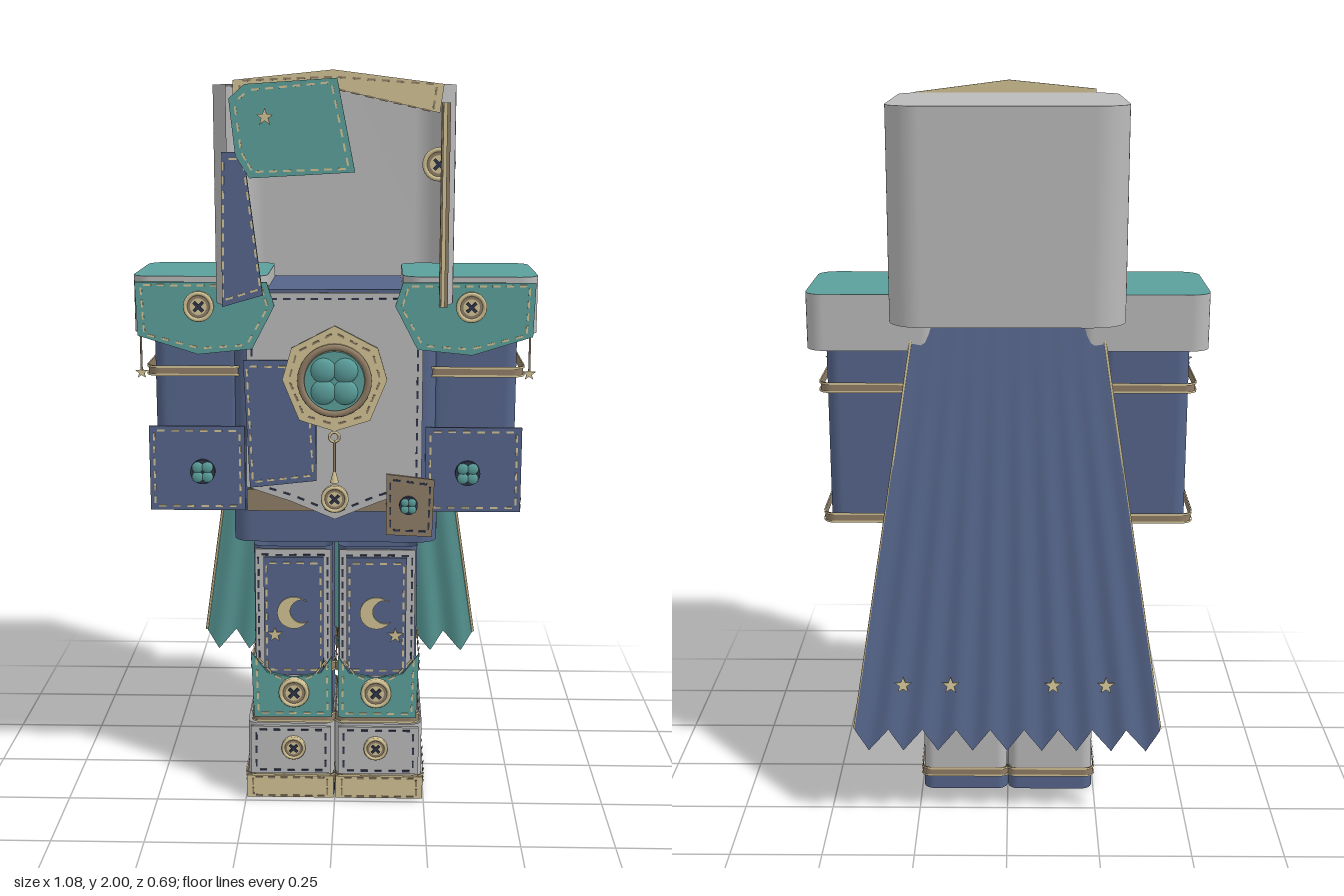
import * as THREE from 'three';
import { mergeGeometries } from 'three/addons/utils/BufferGeometryUtils.js';

const paint = (name, color) => new THREE.MeshStandardMaterial({ name, color, side: THREE.DoubleSide });
const gray = paint('gray cloth', 0xbababa);
const blue = paint('blue cloth', 0x55658a);
const teal = paint('teal cloth', 0x5b9f9c);
const tan = paint('tan trim', 0xd2c394);
const brown = paint('brown leather', 0x907d66);
const dark = paint('dark thread', 0x30364c);

function add(parent, name, geo, mat, x = 0, y = 0, z = 0) {
  const mesh = new THREE.Mesh(geo, mat);
  mesh.name = name;
  mesh.position.set(x, y, z);
  parent.add(mesh);
  return mesh;
}

// Rounded rectangle seen from above, as [x, z], starting in the middle of the front
function roundRect(w, d, r) {
  const pts = [[0, d / 2]];
  [[1, 1], [1, -1], [-1, -1], [-1, 1]].forEach(([sx, sz], q) => {
    for (let i = 0; i <= 8; i++) {
      const a = (q + i / 8) * Math.PI / 2;
      pts.push([sx * (w / 2 - r) + r * Math.sin(a), sz * (d / 2 - r) + r * Math.cos(a)]);
    }
  });
  pts.push([0, d / 2]);
  return pts;
}

// Upright cloth wall following an outline
function wall(pts, y0, y1) {
  const pos = [], idx = [];
  pts.forEach(([x, z], i) => {
    pos.push(x, y0, z, x, y1, z);
    const a = i * 2;
    if (i < pts.length - 1) idx.push(a, a + 2, a + 3, a, a + 3, a + 1);
  });
  const g = new THREE.BufferGeometry();
  g.setAttribute('position', new THREE.Float32BufferAttribute(pos, 3));
  g.setIndex(idx);
  g.computeVertexNormals();
  return g;
}
const lid = pts => new THREE.ShapeGeometry(new THREE.Shape(pts.slice(0, -1).map(([x, z]) => new THREE.Vector2(x, -z)))).rotateX(-Math.PI / 2);

// Thin band around a sleeve, with a lighter cord on each side
function band(parent, name, w, d, r, x, y, z) {
  add(parent, name, wall(roundRect(w + 0.016, d + 0.016, r), -0.014, 0.014), brown, x, y, z);
  for (const s of [-1, 1]) add(parent, name + 'Cord', wall(roundRect(w + 0.022, d + 0.022, r), -0.003, 0.003), tan, x, y + s * 0.011, z);
}

const toShape = pts => new THREE.Shape(pts.map(([x, y]) => new THREE.Vector2(x, y)));
const extrude = (shape, depth) => new THREE.ExtrudeGeometry(shape, { depth, bevelEnabled: false, curveSegments: 14 });

// Flat patch facing front, with optional stitches along its border
function plate(parent, name, pts, mat, z, thread, depth = 0.008) {
  add(parent, name, extrude(toShape(pts), depth), mat, 0, 0, z);
  if (!thread) return;
  const cx = pts.reduce((s, p) => s + p[0], 0) / pts.length;
  const cy = pts.reduce((s, p) => s + p[1], 0) / pts.length;
  const inset = pts.map(([x, y]) => {
    const k = 1 - 0.018 / Math.hypot(x - cx, y - cy);
    return [cx + (x - cx) * k, cy + (y - cy) * k];
  });
  const dashes = [];
  inset.forEach(([x, y], i) => {
    const [u, v] = inset[(i + 1) % inset.length];
    const n = Math.max(1, Math.round(Math.hypot(u - x, v - y) / 0.036));
    for (let k = 0; k < n; k++) {
      const t = (k + 0.5) / n;
      dashes.push(new THREE.BoxGeometry(0.02, 0.005, 0.004).rotateZ(Math.atan2(v - y, u - x)).translate(x + (u - x) * t, y + (v - y) * t, 0));
    }
  });
  add(parent, name + 'Stitches', mergeGeometries(dashes), thread, 0, 0, z + depth + 0.001);
}
const flip = (pts, s) => pts.map(([x, y]) => [x * s, y]);
const rect = (x0, y0, x1, y1) => [[x0, y0], [x1, y0], [x1, y1], [x0, y1]];

function star(parent, name, x, y, z, r = 0.022) {
  const pts = [...Array(10).keys()].map(i => {
    const a = Math.PI / 2 + i * Math.PI / 5, k = i % 2 ? r * 0.42 : r;
    return [Math.cos(a) * k, Math.sin(a) * k];
  });
  return add(parent, name, extrude(toShape(pts), 0.004), tan, x, y, z);
}

// Four round petals
function clover(parent, x, y, z, r) {
  for (const sx of [-1, 1]) for (const sy of [-1, 1]) {
    add(parent, 'cloverLeaf', new THREE.SphereGeometry(r, 14, 8).scale(1, 1, 0.45), teal, x + sx * r * 0.85, y + sy * r * 0.85, z);
  }
}

// Round button facing front, with crossed thread or a clover
function button(parent, x, y, z, r, leafy) {
  const g = new THREE.Group();
  g.name = 'button';
  g.position.set(x, y, z);
  parent.add(g);
  add(g, 'buttonDisc', new THREE.CylinderGeometry(r, r, 0.012, 24).rotateX(Math.PI / 2), leafy ? dark : tan);
  if (leafy) return clover(g, 0, 0, 0.008, r * 0.46);
  add(g, 'buttonRim', new THREE.TorusGeometry(r * 0.88, r * 0.14, 6, 24), tan, 0, 0, 0.008);
  add(g, 'buttonGroove', new THREE.RingGeometry(r * 0.55, r * 0.75, 24), brown, 0, 0, 0.008);
  for (const s of [-1, 1]) add(g, 'buttonThread', new THREE.BoxGeometry(r * 0.85, r * 0.2, 0.006).rotateZ(s * Math.PI / 4), dark, 0, 0, 0.009);
}

function buildHead(g) {
  const outline = roundRect(0.62, 0.62, 0.09);
  add(g, 'hoodWall', wall(outline.filter(([x, z]) => z < 0 || Math.abs(x) > 0.265), 1.41, 1.965), gray, 0, 0, 0.01);
  add(g, 'hoodTop', lid(outline), gray, 0, 1.965, 0.01);
  plate(g, 'browTrim', [[-0.25, 1.93], [0.02, 1.95], [0.265, 1.895], [0.275, 1.965], [0, 2], [-0.25, 1.975]], tan, 0.322, brown);
  plate(g, 'sideTrim', rect(0.27, 1.41, 0.292, 1.92), brown, 0.318);
  plate(g, 'sideTrimEdge', rect(0.274, 1.41, 0.284, 1.92), tan, 0.324);
  plate(g, 'browPatch', [[-0.245, 1.79], [-0.21, 1.735], [0.055, 1.75], [0.01, 1.98], [-0.22, 1.965], [-0.26, 1.93]], teal, 0.333, tan);
  star(g, 'browStar', -0.17, 1.885, 0.342);
  plate(g, 'sidePatch', [[-0.285, 1.41], [-0.18, 1.44], [-0.225, 1.8], [-0.28, 1.8]], blue, 0.328, tan);
  button(g, 0.275, 1.76, 0.075, 0.044);
}

function buildTorso(g) {
  const outline = roundRect(0.56, 0.33, 0.05);
  add(g, 'torso', wall(outline, 0.74, 1.437), blue, 0, 0, 0.015);
  add(g, 'torsoTop', lid(outline), blue, 0, 1.437, 0.015);
  plate(g, 'belt', rect(-0.24, 0.83, 0.17, 0.89), brown, 0.182);
  plate(g, 'tabard', [[-0.24, 0.9], [-0.12, 0.86], [0, 0.81], [0.12, 0.86], [0.235, 0.9], [0.235, 1.3], [0.19, 1.43], [-0.19, 1.43], [-0.235, 1.3]], gray, 0.191, dark);
  plate(g, 'chestPatch', [[-0.23, 0.9], [-0.05, 0.92], [-0.05, 1.1], [-0.12, 1.25], [-0.245, 1.25]], blue, 0.2, tan);
  plate(g, 'hipPatch', [[0.14, 0.77], [0.265, 0.765], [0.27, 0.925], [0.14, 0.94]], brown, 0.202, dark);
  button(g, 0.2, 0.855, 0.216, 0.025, true);
  button(g, 0, 0.87, 0.206, 0.037);

  // Medallion and its hanging charm
  plate(g, 'medallionBacking', [[0, 1.06], [0.095, 1.09], [0.14, 1.2], [0.115, 1.285], [0, 1.345], [-0.115, 1.285], [-0.14, 1.2], [-0.095, 1.09]], tan, 0.21, brown);
  add(g, 'medallionDisc', new THREE.CylinderGeometry(0.098, 0.098, 0.016, 36).rotateX(Math.PI / 2), tan, 0, 1.2, 0.224);
  add(g, 'medallionRim', new THREE.TorusGeometry(0.09, 0.009, 8, 36), brown, 0, 1.2, 0.232);
  add(g, 'medallionFace', new THREE.CylinderGeometry(0.08, 0.08, 0.01, 36).rotateX(Math.PI / 2), teal, 0, 1.2, 0.234);
  clover(g, 0, 1.2, 0.24, 0.034);
  add(g, 'charmRing', new THREE.TorusGeometry(0.013, 0.004, 6, 16), tan, 0, 1.05, 0.243);
  add(g, 'charmCord', new THREE.CylinderGeometry(0.004, 0.004, 0.1, 8), brown, 0, 0.99, 0.243);
  add(g, 'charmTip', new THREE.CylinderGeometry(0.004, 0.012, 0.03, 10), tan, 0, 0.94, 0.243);
}

function buildArm(g, s) {
  add(g, 'sleeve', wall(roundRect(0.24, 0.305, 0.035), 0.83, 1.35), blue, s * 0.37, 0, 0.008);
  for (const y of [1.215, 0.845]) band(g, 'sleeveBand', 0.25, 0.31, 0.035, s * 0.375, y, 0.008);
  const cap = roundRect(0.36, 0.36, 0.05);
  add(g, 'shoulderWall', wall(cap, 1.32, 1.472), gray, s * 0.36, 0, 0.01);
  add(g, 'shoulderTop', lid(cap), teal, s * 0.36, 1.472, 0.01);
  plate(g, 'shoulderFlap', flip([[0.525, 1.315], [0.53, 1.458], [0.18, 1.458], [0.16, 1.395], [0.22, 1.28], [0.365, 1.265]], s), teal, 0.195, tan);
  button(g, s * 0.36, 1.395, 0.212, 0.04);
  add(g, 'charmString', new THREE.CylinderGeometry(0.003, 0.003, 0.1, 6), brown, s * 0.518, 1.27, 0.196);
  star(g, 'shoulderCharm', s * 0.518, 1.215, 0.194, 0.018);
  plate(g, 'cuffPatch', flip(rect(0.245, 0.83, 0.505, 1.065), s), blue, 0.178, tan);
  button(g, s * 0.36, 0.94, 0.192, 0.034, true);
}

function buildLeg(g, s) {
  add(g, 'trouserLeg', wall(roundRect(0.22, 0.275, 0.03), 0.2, 0.72), blue, s * 0.118, 0, 0.018);
  for (const y of [0.37, 0.215]) band(g, 'legBand', 0.222, 0.277, 0.03, s * 0.118, y, 0.018);
  plate(g, 'legPanel', flip(rect(0.012, 0.34, 0.222, 0.715), s), gray, 0.164, dark);
  plate(g, 'thighPatch', flip(rect(0.032, 0.35, 0.198, 0.695), s), blue, 0.174, tan);
  plate(g, 'kneePatch', flip([[0.008, 0.228], [0.228, 0.228], [0.235, 0.42], [0.19, 0.36], [0.115, 0.345], [0.04, 0.36], [0.008, 0.41]], s), teal, 0.184, tan);
  button(g, s * 0.115, 0.305, 0.198, 0.042);

  // Crescent and star
  const moon = new THREE.Shape();
  moon.absarc(0, 0, 0.046, 0.9, Math.PI * 2 - 0.75, false);
  moon.absarc(0.024, 0.004, 0.034, -1.1, 1.2, true);
  add(g, 'moon', extrude(moon, 0.004), tan, s * 0.115, 0.535, 0.183);
  star(g, 'legStar', s * 0.168, 0.47, 0.183);

  // Boot
  add(g, 'boot', wall(roundRect(0.242, 0.36, 0.03), 0.045, 0.222), gray, s * 0.123, 0, 0.04);
  add(g, 'sole', wall(roundRect(0.244, 0.364, 0.03), 0, 0.05), blue, s * 0.123, 0, 0.042);
  band(g, 'soleBand', 0.238, 0.35, 0.03, s * 0.123, 0.056, 0.04);
  plate(g, 'toePatch', flip(rect(0.003, 0.005, 0.247, 0.07), s), tan, 0.23, brown);
  plate(g, 'bootFront', flip(rect(0.01, 0.075, 0.235, 0.215), s), gray, 0.222, dark);
  button(g, s * 0.115, 0.155, 0.234, 0.033);
}

function buildCape(g) {
  const teeth = 9;
  // Each side is a pleated sheet with a zigzag hem
  const sheet = (side, back) => {
    const geo = new THREE.PlaneGeometry(1, 1, teeth * 8, 10), p = geo.attributes.position;
    for (let i = 0; i < p.count; i++) {
      const u = side * p.getX(i) * 2, t = 0.5 - p.getY(i);
      const saw = Math.abs((((u + 1) / 2 * teeth) % 1) * 2 - 1);
      const hem = 0.23 + 0.065 * saw;
      const y = 1.4 + (hem - 1.4) * t;
      const fall = (1.4 - y) / 1.17;
      p.setXYZ(i, u * (0.25 + 0.18 * fall), y, -0.155 - 0.188 * fall + 0.006 * t * Math.cos(u * teeth * Math.PI) - back);
    }
    geo.computeVertexNormals();
    return geo;
  };
  add(g, 'capeLining', sheet(1, 0), teal);
  add(g, 'capeOuter', sheet(-1, 0.005), blue);
  for (const s of [-1, 1]) {
    const edge = new THREE.LineCurve3(new THREE.Vector3(s * 0.25, 1.4, -0.158), new THREE.Vector3(s * 0.42, 0.295, -0.337));
    add(g, 'capeEdge', new THREE.TubeGeometry(edge, 1, 0.004, 6), tan);
  }
  for (const x of [-0.27, -0.125, 0.155, 0.285]) {
    star(g, 'capeStar', x, 0.42, -0.326, 0.024).rotation.set(0.16, Math.PI, 0);
  }
}

export function createModel() {
  const model = new THREE.Group();
  model.name = 'patchworkOutfit';
  const part = (name, build, side) => {
    const g = new THREE.Group();
    g.name = name;
    build(g, side);
    model.add(g);
  };
  part('head', buildHead);
  part('body', buildTorso);
  part('cape', buildCape);
  for (const s of [-1, 1]) {
    part(s > 0 ? 'leftArm' : 'rightArm', buildArm, s);
    part(s > 0 ? 'leftLeg' : 'rightLeg', buildLeg, s);
  }
  return model;
}
